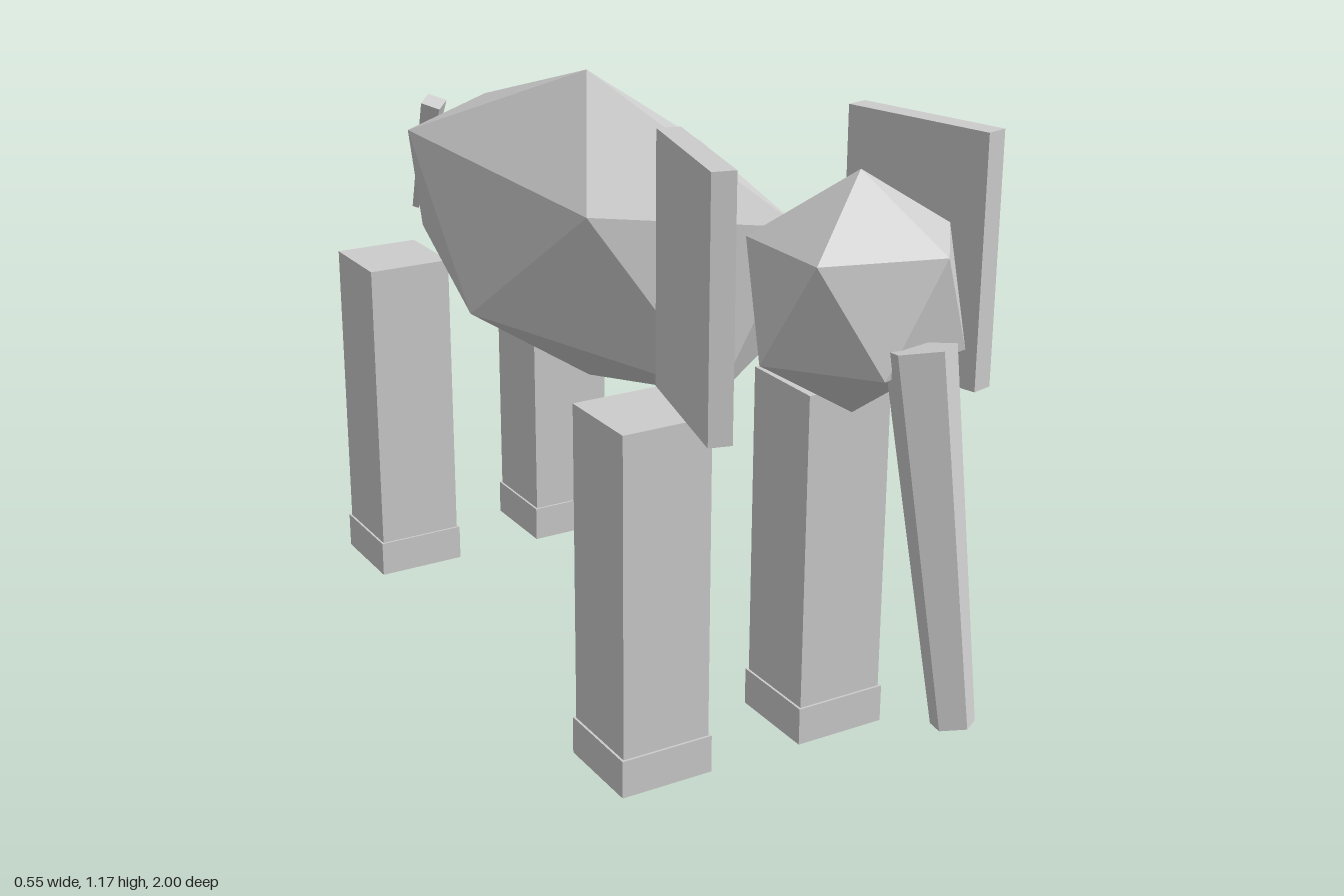
import * as THREE from 'three';

// Unit icosahedron standing on a vertex: two poles and two rings of five
function poleIcosahedron() {
  const v = [0, 1, 0], f = [];
  const h = 0.4472, r = 0.8944;
  for (let ring = 0; ring < 2; ring++) {
    for (let k = 0; k < 5; k++) {
      const a = (k * 2 + ring) * Math.PI / 5;
      v.push(r * Math.cos(a), ring ? -h : h, r * Math.sin(a));
    }
  }
  v.push(0, -1, 0);
  for (let k = 0; k < 5; k++) {
    const n = (k + 1) % 5;
    const u0 = 1 + k, u1 = 1 + n, l0 = 6 + k, l1 = 6 + n;
    f.push(0, u1, u0, u0, u1, l0, l0, u1, l1, 11, l0, l1);
  }
  return new THREE.PolyhedronGeometry(v, f, 1, 0);
}

export function createModel() {
  const model = new THREE.Group();
  const grey = new THREE.MeshStandardMaterial({ color: 0xcccccc, flatShading: true });
  grey.name = 'grey hide';

  const add = (name, geometry, x, y, z, parent = model) => {
    const mesh = new THREE.Mesh(geometry, grey);
    mesh.name = name;
    mesh.position.set(x, y, z);
    parent.add(mesh);
    return mesh;
  };

  // Body and head
  add('body', poleIcosahedron().scale(0.28, 0.3, 0.7), 0, 0.84, -0.19);
  add('head', poleIcosahedron().scale(0.197, 0.197, 0.182), 0, 0.947, 0.675);

  // Five-sided trunk, swinging forward
  add('trunk', new THREE.CylinderGeometry(0.058, 0.036, 0.585, 5), 0, 0.621, 0.903).rotation.x = -0.213;

  // Four-sided tail, swinging back
  add('tail', new THREE.CylinderGeometry(0.03, 0.01, 0.28, 4), 0, 0.818, -0.934).rotation.x = 0.41;

  // Ears and legs on both sides
  for (const side of [1, -1]) {
    const label = side > 0 ? 'left' : 'right';
    add(label + 'Ear', new THREE.BoxGeometry(0.04, 0.43, 0.285), side * 0.216, 0.96, 0.548)
      .rotation.y = side * 0.25;

    for (const [end, z] of [['Front', 0.333], ['Back', -0.703]]) {
      const leg = new THREE.Group();
      leg.name = label + end + 'Leg';
      leg.position.set(side * 0.184, 0, z);
      add('shin', new THREE.BoxGeometry(0.172, 0.605, 0.172), 0, 0.3725, 0, leg);
      add('foot', new THREE.BoxGeometry(0.181, 0.072, 0.181), 0, 0.036, 0, leg);
      model.add(leg);
    }
  }
  return model;
}
